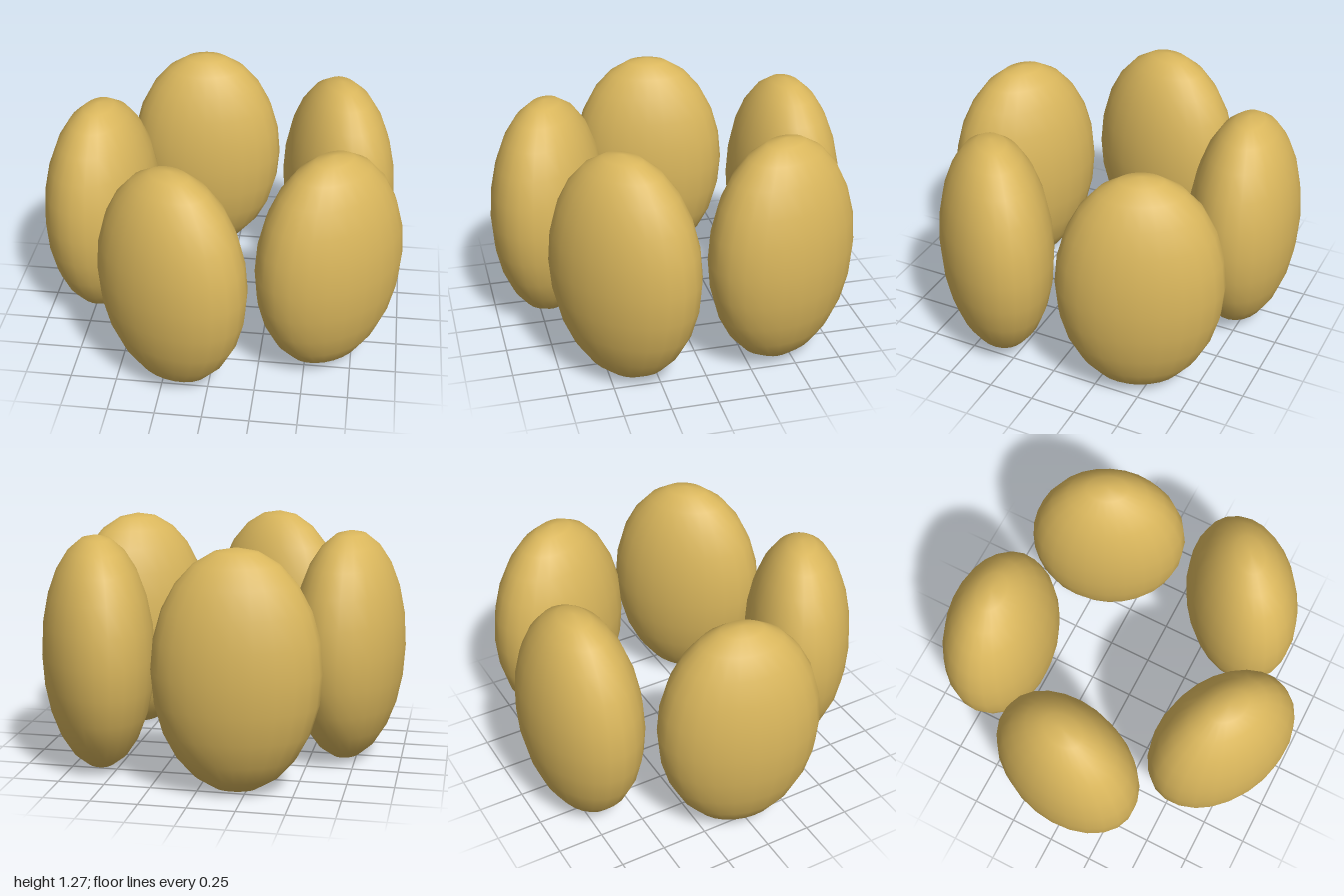
import * as THREE from 'three';

// Five upright, flattened egg shapes standing in a ring
export function createModel() {
  const group = new THREE.Group();
  group.name = 'eggRing';
  const gold = new THREE.MeshStandardMaterial({ color: 0xd9b65c });
  gold.name = 'gold';

  const count = 5, radius = 0.72, halfHeight = 0.637;
  const centre = { x: 0.025, z: -0.02 };
  const skew = THREE.MathUtils.degToRad(-12); // each egg turned slightly off the tangent

  // Long axis along x, upright along y, thin along z
  const geometry = new THREE.SphereGeometry(1, 24, 12).scale(0.44, halfHeight, 0.3);

  for (let i = 0; i < count; i++) {
    const angle = Math.PI + (i * 2 * Math.PI) / count;
    const egg = new THREE.Mesh(geometry, gold);
    egg.name = `egg${i + 1}`;
    egg.position.set(
      centre.x + radius * Math.cos(angle),
      halfHeight,
      centre.z - radius * Math.sin(angle)
    );
    egg.rotation.y = angle + Math.PI / 2 + skew;
    group.add(egg);
  }
  return group;
}
